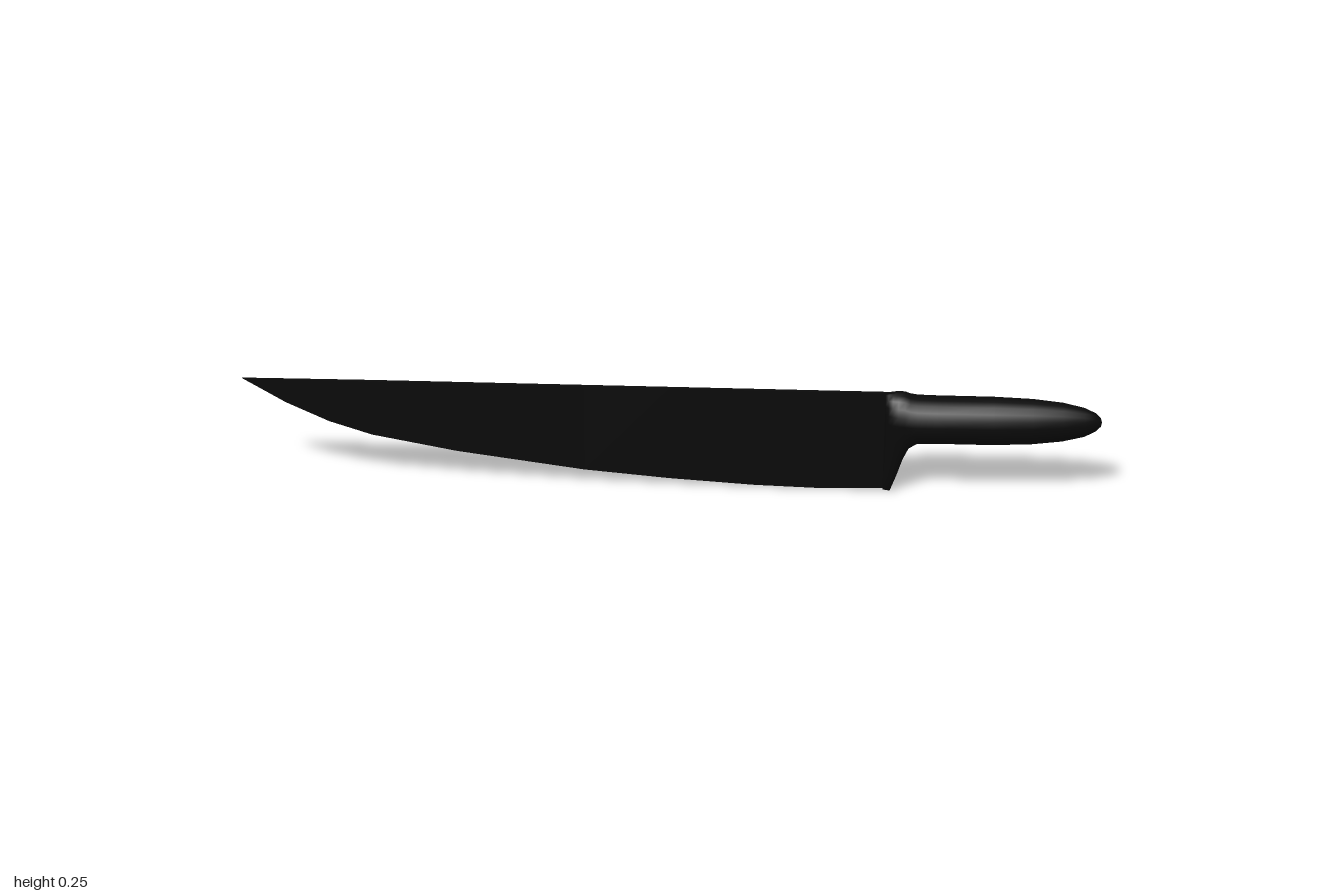
import * as THREE from 'three';

const black = new THREE.MeshStandardMaterial({ color: 0x0a0a0a });
black.name = 'black';

// Skin a list of equal-length rings of [x, y, z], ordered along +x
function loft(rings, smooth) {
  const n = rings[0].length;
  const index = [];
  for (let i = 0; i < rings.length - 1; i++) {
    for (let j = 0; j < n; j++) {
      const k = (j + 1) % n;
      const a = i * n + j, b = i * n + k, c = a + n, d = b + n;
      index.push(a, b, c, b, d, c);
    }
  }
  let geo = new THREE.BufferGeometry();
  geo.setAttribute('position', new THREE.Float32BufferAttribute(rings.flat(2), 3));
  geo.setIndex(index);
  if (!smooth) geo = geo.toNonIndexed();
  geo.computeVertexNormals();
  return geo;
}

// Half width of the teardrop bolster, from its widest line (u = 0) to its heel (u = 1)
const taper = [[0, 1], [0.35, 0.77], [0.73, 0.48], [0.95, 0.23], [1, 0]];
function taperAt(u) {
  for (let i = 1; i < taper.length; i++) {
    const [u0, w0] = taper[i - 1], [u1, w1] = taper[i];
    if (u <= u1) return w0 + (w1 - w0) * (u - u0) / (u1 - u0);
  }
  return 0;
}

// Handle section: rounded top, lower half blended from ellipse to teardrop by drop
function handleRing([x, top, mid, bottom, halfWidth, drop]) {
  const ring = [], sides = 20;
  for (let j = 0; j < sides; j++) {
    const a = j / sides * Math.PI * 2;
    const c = Math.cos(a), s = Math.sin(a);
    const y = c > 0 ? mid + (top - mid) * c : mid + (mid - bottom) * c;
    let w = Math.abs(s);
    if (c < 0) w += (taperAt(Math.min(1, -c)) - w) * drop;
    ring.push([x, y, Math.sign(s) * w * halfWidth]);
  }
  return ring;
}

export function createModel() {
  const model = new THREE.Group();
  model.name = 'kitchenKnife';

  // Blade: straight spine, curved cutting edge, wedge section
  const edge = [
    [-1, 0.249], [-0.9, 0.19], [-0.8, 0.144], [-0.7, 0.112], [-0.5, 0.075],
    [-0.2, 0.035], [0, 0.018], [0.2, 0.006], [0.35, 0.002], [0.52, 0.006],
  ];
  const bladeRings = edge.map(([x, y]) => {
    const t = THREE.MathUtils.clamp((x + 1) / 0.3, 0, 1) * 0.0035 + 0.0015;
    return [[x, 0.25, t], [x, y, 0], [x, 0.25, -t]];
  });
  const blade = new THREE.Mesh(loft(bladeRings, false), black);
  blade.name = 'blade';
  model.add(blade);

  // Handle with bolster: x, top, widest line, bottom, half width, teardrop amount
  const sections = [
    [0.5, 0.25, 0.185, 0.003, 0, 1],
    [0.5, 0.25, 0.185, 0.003, 0.022, 1],
    [0.507, 0.25, 0.185, 0.001, 0.034, 1],
    [0.517, 0.251, 0.185, 0, 0.042, 1],
    [0.53, 0.252, 0.185, 0.036, 0.047, 0.9],
    [0.545, 0.251, 0.185, 0.085, 0.05, 0.6],
    [0.557, 0.246, 0.185, 0.113, 0.052, 0.25],
    [0.575, 0.243, 0.185, 0.126, 0.053, 0],
    [0.62, 0.242, 0.185, 0.128, 0.053, 0],
    [0.75, 0.242, 0.185, 0.128, 0.052, 0],
    [0.84, 0.239, 0.186, 0.132, 0.047, 0],
    [0.91, 0.232, 0.187, 0.14, 0.038, 0],
    [0.96, 0.221, 0.187, 0.152, 0.027, 0],
    [0.985, 0.209, 0.187, 0.165, 0.018, 0],
    [0.997, 0.197, 0.187, 0.177, 0.009, 0],
    [1, 0.187, 0.187, 0.187, 0, 0],
  ];
  const handle = new THREE.Mesh(loft(sections.map(handleRing), true), black);
  handle.name = 'handle';
  model.add(handle);

  return model;
}
